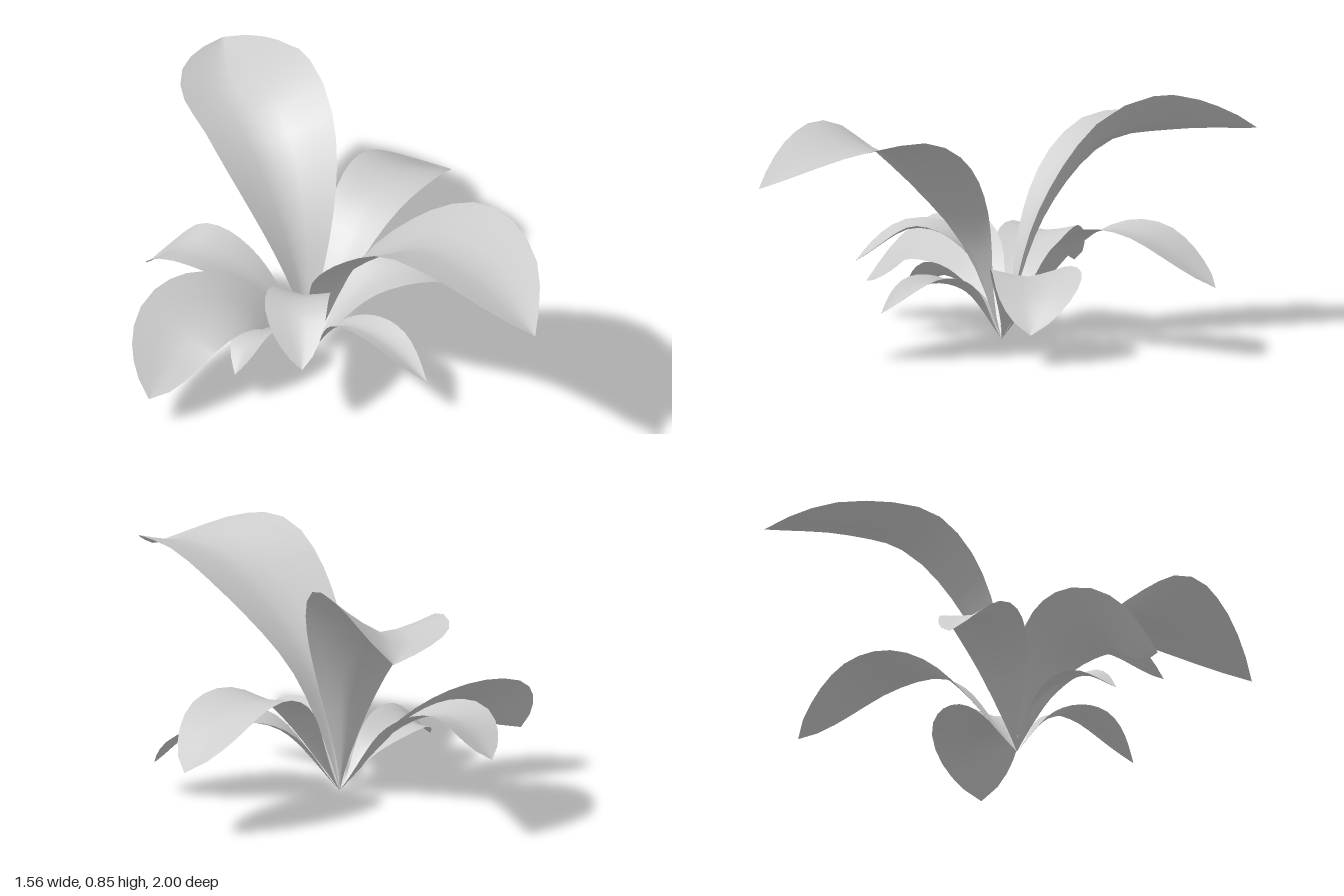
import * as THREE from 'three';

const ROWS = 18; // steps along a leaf
const COLS = 6;  // steps across a leaf
const ROOT = new THREE.Vector3(-0.04, 0.005, -0.13);
const UP = new THREE.Vector3(0, 1, 0);

const leafMaterial = new THREE.MeshStandardMaterial({ color: 0xcccccc, side: THREE.DoubleSide });
leafMaterial.name = 'pale grey leaf';

const v = (x, y, z) => new THREE.Vector3(x, y, z);

// Sweeps a folded blade from the root along the midrib.
// width: widest half width; lift: how far both edges fold up;
// roll: how far the right-hand edge is raised; taper: under 1 gives a rounder tip;
// stalk: higher gives a longer narrow stalk.
function makeLeaf(name, path, width, lift, { roll = 0, taper = 1, stalk = 1.5 } = {}) {
  const midrib = new THREE.CatmullRomCurve3([ROOT, ...path], false, 'catmullrom');
  const positions = [];
  const indices = [];

  for (let i = 0; i <= ROWS; i++) {
    const u = i / ROWS;
    const centre = midrib.getPointAt(u);
    const tangent = midrib.getTangentAt(u);
    const side = new THREE.Vector3().crossVectors(tangent, UP).normalize();
    const normal = new THREE.Vector3().crossVectors(side, tangent);
    // Narrow stalk, widest beyond the middle, closing at the tip
    const half = width * Math.pow(Math.abs(Math.sin(Math.PI * Math.pow(u, stalk))), taper);

    for (let j = 0; j <= COLS; j++) {
      const s = (j / COLS) * 2 - 1;
      const rise = half * (lift * Math.pow(Math.abs(s), 1.3) + roll * s);
      const p = centre.clone().addScaledVector(side, s * half).addScaledVector(normal, rise);
      positions.push(p.x, p.y, p.z);
      if (i < ROWS && j < COLS) {
        const a = i * (COLS + 1) + j;
        const b = a + COLS + 1;
        indices.push(a, a + 1, b, a + 1, b + 1, b);
      }
    }
  }

  const geometry = new THREE.BufferGeometry();
  geometry.setAttribute('position', new THREE.Float32BufferAttribute(positions, 3));
  geometry.setIndex(indices);
  geometry.computeVertexNormals();
  const mesh = new THREE.Mesh(geometry, leafMaterial);
  mesh.name = name;
  return mesh;
}

export function createModel() {
  const plant = new THREE.Group();
  plant.name = 'leafyPlant';

  // Two tall arching leaves
  plant.add(makeLeaf('tallFrontLeaf',
    [v(-0.05, 0.4, 0.04), v(0.01, 0.695, 0.4), v(0.03, 0.725, 0.68), v(0, 0.64, 1)], 0.25, 0.27,
    { roll: 0.06, taper: 0.95 }));
  plant.add(makeLeaf('tallBackLeaf',
    [v(0, 0.41, -0.28), v(0.06, 0.66, -0.5), v(0.14, 0.7, -0.75), v(0.3, 0.7, -1)], 0.22, 0.48,
    { roll: 0.25, taper: 0.85, stalk: 1.65 }));

  // Long leaves to the sides
  plant.add(makeLeaf('longLeftLeaf',
    [v(0.24, 0.36, -0.22), v(0.5, 0.42, -0.3), v(0.78, 0.25, -0.41)], 0.15, 0.12,
    { taper: 0.75, stalk: 1.75 }));
  plant.add(makeLeaf('longRightLeaf',
    [v(-0.28, 0.25, -0.21), v(-0.55, 0.29, -0.22), v(-0.78, 0.125, -0.14)], 0.135, 0.1,
    { roll: 0.55, taper: 0.75, stalk: 1.65 }));

  // Middle leaves on the diagonals
  plant.add(makeLeaf('frontLeftLeaf',
    [v(0.16, 0.235, -0.05), v(0.38, 0.26, 0.06), v(0.51, 0.11, 0.2)], 0.155, 0.22,
    { taper: 0.75, stalk: 1.7 }));
  plant.add(makeLeaf('backRightLeaf',
    [v(-0.16, 0.25, -0.32), v(-0.265, 0.325, -0.52), v(-0.31, 0.2, -0.685)], 0.13, 0.2,
    { taper: 0.7, stalk: 1.7 }));
  plant.add(makeLeaf('frontRightLeaf',
    [v(-0.13, 0.3, -0.06), v(-0.28, 0.385, 0.06), v(-0.4, 0.27, 0.23)], 0.11, 0.2,
    { taper: 0.8, stalk: 1.65 }));

  // Low small leaves
  plant.add(makeLeaf('lowRightLeaf',
    [v(-0.18, 0.15, -0.13), v(-0.34, 0.2, -0.1), v(-0.465, 0.13, -0.05)], 0.08, 0.3, { roll: -0.4 }));
  plant.add(makeLeaf('lowFrontLeaf',
    [v(-0.04, 0.18, 0.02), v(-0.03, 0.23, 0.22), v(-0.01, 0.15, 0.44)], 0.07, 0.35));

  return plant;
}
